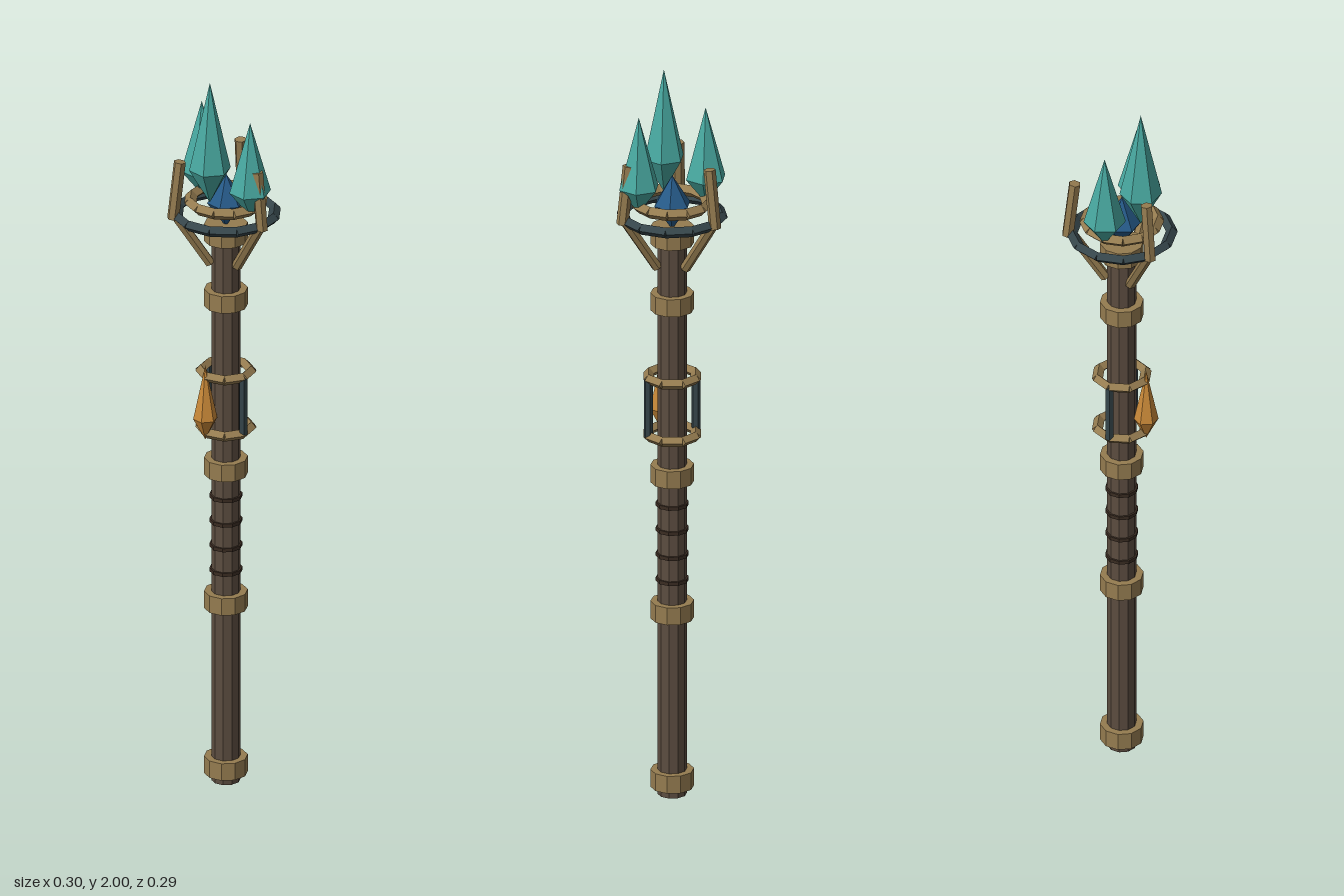
import * as THREE from 'three';
import { mergeGeometries } from 'three/addons/utils/BufferGeometryUtils.js';

const mat = (name, color) => new THREE.MeshStandardMaterial({ name, color, flatShading: true });

export function createModel() {
  const wood = mat('dark wood', 0x5c4d40);
  const cord = mat('cord', 0x3a2c22);
  const bronze = mat('bronze', 0x957c50);
  const iron = mat('dark iron', 0x35454a);
  const teal = mat('teal crystal', 0x48a8a0);
  const blue = mat('blue crystal', 0x265a88);
  const amber = mat('amber crystal', 0xc88838);

  const staff = new THREE.Group();
  staff.name = 'staff';
  const add = (name, geometry, material, x = 0, y = 0, z = 0) => {
    const mesh = new THREE.Mesh(geometry, material);
    mesh.name = name;
    mesh.position.set(x, y, z);
    staff.add(mesh);
    return mesh;
  };

  // Ring of separate straight bars with a diamond cross-section
  const segmentRing = (radius, tube, count) => {
    const mid = radius * Math.cos(Math.PI / count);
    const length = 2 * radius * Math.sin(Math.PI / count) * 1.04;
    const bars = [];
    for (let i = 0; i < count; i++) {
      bars.push(new THREE.CylinderGeometry(tube, tube, length, 4)
        .rotateX(Math.PI / 2)
        .translate(mid, 0, 0)
        .rotateY(((i + 0.5) / count) * Math.PI * 2));
    }
    return mergeGeometries(bars);
  };

  // Six-sided double-pointed crystal with corners on the x axis
  const crystal = (radius, below, above) => new THREE.LatheGeometry([
    new THREE.Vector2(0, -below),
    new THREE.Vector2(radius, 0),
    new THREE.Vector2(0, above),
  ], 6, Math.PI / 2);

  // Straight rod between two points
  const rod = (name, a, b, radius) => {
    const dir = b.clone().sub(a);
    const mesh = add(name, new THREE.CylinderGeometry(radius, radius, dir.length(), 6), bronze);
    mesh.position.copy(a).add(b).multiplyScalar(0.5);
    mesh.quaternion.setFromUnitVectors(new THREE.Vector3(0, 1, 0), dir.normalize());
  };

  // Shaft, collars and grip cords
  add('shaft', new THREE.CylinderGeometry(0.038, 0.038, 1.58, 10), wood, 0, 0.79, 0);
  for (const y of [0.045, 0.515, 0.895, 1.375, 1.56]) {
    add('collar', new THREE.CylinderGeometry(0.057, 0.057, 0.048, 10), bronze, 0, y, 0);
  }
  for (const y of [0.6, 0.67, 0.74, 0.81]) {
    add('gripCord', new THREE.CylinderGeometry(0.043, 0.043, 0.01, 10), cord, 0, y, 0);
  }

  // Cage around the shaft with its amber crystal
  for (const y of [1.005, 1.165]) {
    add('cageRing', segmentRing(0.066, 0.014, 8), bronze, 0, y, 0);
  }
  for (const side of [-1, 1]) {
    add('cageBar', new THREE.CylinderGeometry(0.012, 0.012, 0.16, 6), iron, side * 0.067, 1.085, 0);
  }
  add('amberCrystal', crystal(0.032, 0.06, 0.15), amber, 0, 1.05, 0.072);

  // Head rings
  add('outerRing', segmentRing(0.13, 0.015, 12), iron, 0, 1.615, 0);
  add('innerRing', segmentRing(0.094, 0.016, 12), bronze, 0, 1.65, 0);

  // Three bent prongs
  for (let i = 0; i < 3; i++) {
    const angle = (i / 3) * Math.PI * 2;
    const at = (r, y) => new THREE.Vector3(r * Math.cos(angle), y, r * Math.sin(angle));
    rod('lowerProng', at(0.042, 1.475), at(0.138, 1.625), 0.014);
    rod('upperProng', at(0.14, 1.61), at(0.122, 1.77), 0.016);
  }

  // Head crystals
  for (const side of [-1, 1]) {
    add('sideCrystal', crystal(0.055, 0.07, 0.195), teal, side * 0.094, 1.705, 0);
  }
  add('tallCrystal', crystal(0.055, 0.095, 0.245), teal, 0, 1.755, 0.056);
  add('coreCrystal', crystal(0.05, 0.07, 0.08), blue, 0, 1.645, 0);

  return staff;
}
